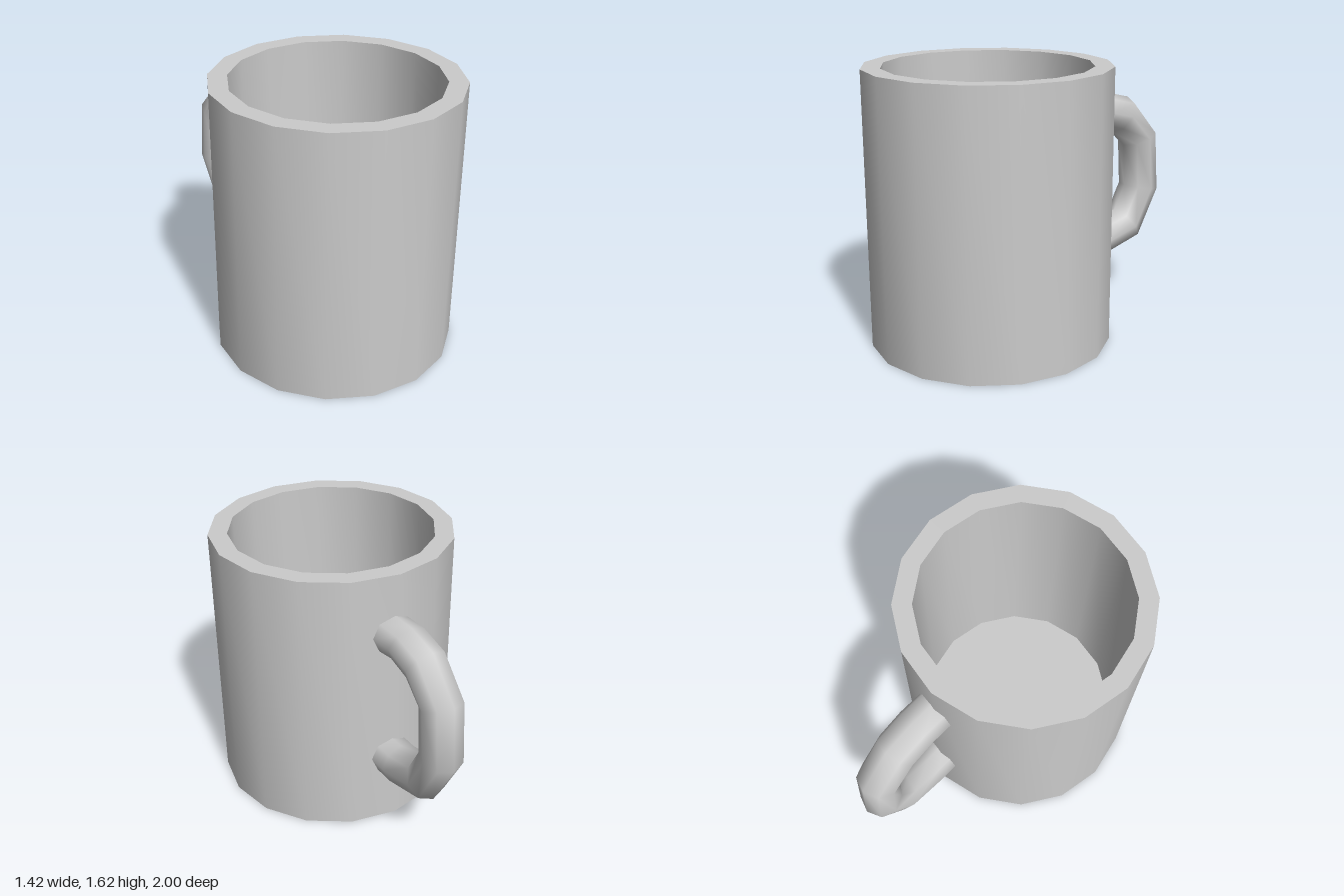
import * as THREE from 'three';
import { toCreasedNormals } from 'three/addons/utils/BufferGeometryUtils.js';

const CENTRE_Z = 0.29;

// Closed tube in the yz plane, swept through rings given as [outer z, outer y, inner z, inner y]
function ringTube(rings, x0, radiusX, sides) {
  const positions = [];
  const index = [];
  rings.forEach(([oz, oy, iz, iy], i) => {
    for (let j = 0; j < sides; j++) {
      const a = (j / sides) * Math.PI * 2;
      const k = Math.cos(a) / 2;
      positions.push(
        x0 + Math.sin(a) * radiusX,
        (oy + iy) / 2 + k * (oy - iy),
        (oz + iz) / 2 + k * (oz - iz)
      );
      if (i < rings.length - 1) {
        const p = i * sides + j;
        const q = i * sides + ((j + 1) % sides);
        index.push(p, q, p + sides, q, q + sides, p + sides);
      }
    }
  });
  const geometry = new THREE.BufferGeometry();
  geometry.setAttribute('position', new THREE.Float32BufferAttribute(positions, 3));
  geometry.setIndex(index);
  geometry.computeVertexNormals();
  return geometry;
}

export function createModel() {
  const group = new THREE.Group();
  group.name = 'mug';
  const material = new THREE.MeshStandardMaterial({ color: 0xcccccc });

  // Cup: 16-sided wall with a flat rim, hollow inside and solid floor
  const profile = [
    [0, 0], [0.71, 0], [0.71, 1.62], [0.6, 1.62], [0.6, 0.11], [0, 0.11],
  ].map(([r, y]) => new THREE.Vector2(r, y));
  const cup = new THREE.Mesh(toCreasedNormals(new THREE.LatheGeometry(profile, 16), 0.6), material);
  cup.name = 'cup';
  cup.position.z = CENTRE_Z;
  group.add(cup);

  // Handle: eight-sided bent tube whose open ends sink into the wall
  const handle = new THREE.Mesh(ringTube([
    [-0.39, 1.375, -0.39, 1.135],
    [-0.57, 1.375, -0.50, 1.155],
    [-0.765, 1.325, -0.635, 1.115],
    [-0.97, 1.095, -0.745, 1.015],
    [-1.0, 0.705, -0.76, 0.75],
    [-0.83, 0.40, -0.68, 0.60],
    [-0.52, 0.32, -0.50, 0.56],
    [-0.39, 0.32, -0.39, 0.56],
  ], 0.025, 0.125, 8), material);
  handle.name = 'handle';
  group.add(handle);

  return group;
}
